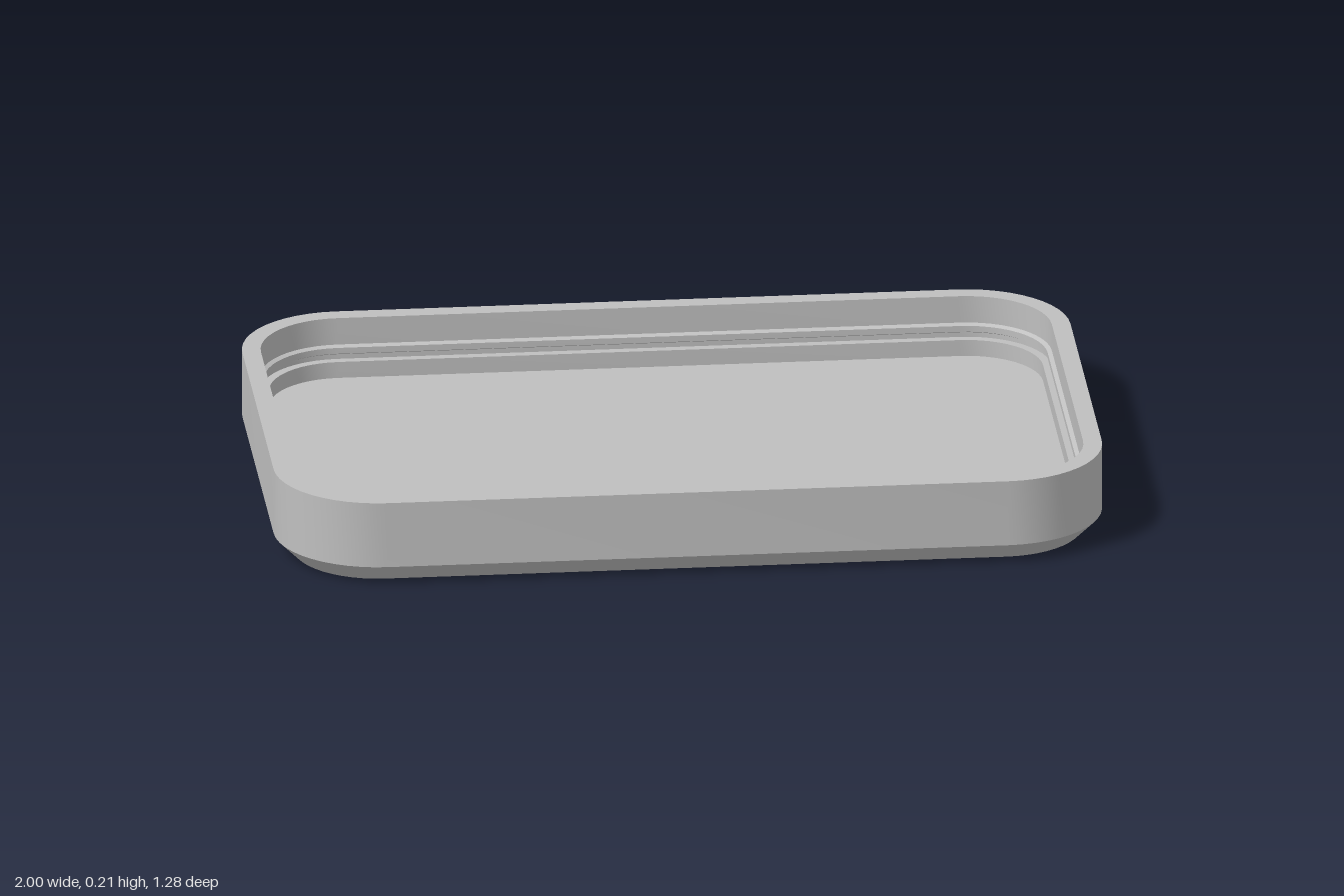
import * as THREE from 'three';
import { toCreasedNormals } from 'three/addons/utils/BufferGeometryUtils.js';

const HALF_X = 1, HALF_Z = 0.638, RADIUS = 0.25, STEPS = 12;
const CENTRE = null; // inset value that collapses a ring to the middle

// Rounded-rectangle ring, inset from the outer wall, at height y
function ring(inset, y) {
  const points = [];
  for (let corner = 0; corner < 4; corner++) {
    const sx = corner === 0 || corner === 3 ? 1 : -1;
    const sz = corner < 2 ? 1 : -1;
    for (let i = 0; i <= STEPS; i++) {
      const a = (corner + i / STEPS) * Math.PI / 2;
      points.push(inset === CENTRE ? [0, y, 0] : [
        sx * (HALF_X - RADIUS) + (RADIUS - inset) * Math.cos(a), y,
        sz * (HALF_Z - RADIUS) + (RADIUS - inset) * Math.sin(a),
      ]);
    }
  }
  return points;
}

// Skin a list of [inset, y] rings, facing out as the profile rises
function loft(name, profile, material) {
  const rings = profile.map(([inset, y]) => ring(inset, y));
  const position = [];
  for (let k = 0; k < rings.length - 1; k++) {
    const low = rings[k], high = rings[k + 1], n = low.length;
    for (let i = 0; i < n; i++) {
      const j = (i + 1) % n;
      if (profile[k + 1][0] !== CENTRE) position.push(...low[i], ...high[i], ...high[j]);
      if (profile[k][0] !== CENTRE) position.push(...low[i], ...high[j], ...low[j]);
    }
  }
  const geometry = new THREE.BufferGeometry();
  geometry.setAttribute('position', new THREE.Float32BufferAttribute(position, 3));
  const mesh = new THREE.Mesh(toCreasedNormals(geometry, 0.4), material);
  mesh.name = name;
  return mesh;
}

export function createModel() {
  const grey = new THREE.MeshStandardMaterial({ color: 0xbfbfbf });
  grey.name = 'plain grey';
  const tray = new THREE.Group();
  tray.name = 'tray';
  tray.add(
    // Flat underside, chamfer and upright wall
    loft('outerShell', [[CENTRE, 0], [0.048, 0], [0, 0.048], [0, 0.213]], grey),
    loft('rim', [[0, 0.213], [0.045, 0.213]], grey),
    // Inner wall with a shallow snap groove, then a narrow ledge
    loft('innerWall', [
      [0.045, 0.213], [0.045, 0.145], [0.055, 0.14], [0.055, 0.125],
      [0.045, 0.12], [0.045, 0.108], [0.066, 0.108], [0.066, 0.067],
    ], grey),
    loft('floor', [[0.066, 0.067], [CENTRE, 0.067]], grey),
  );
  return tray;
}
